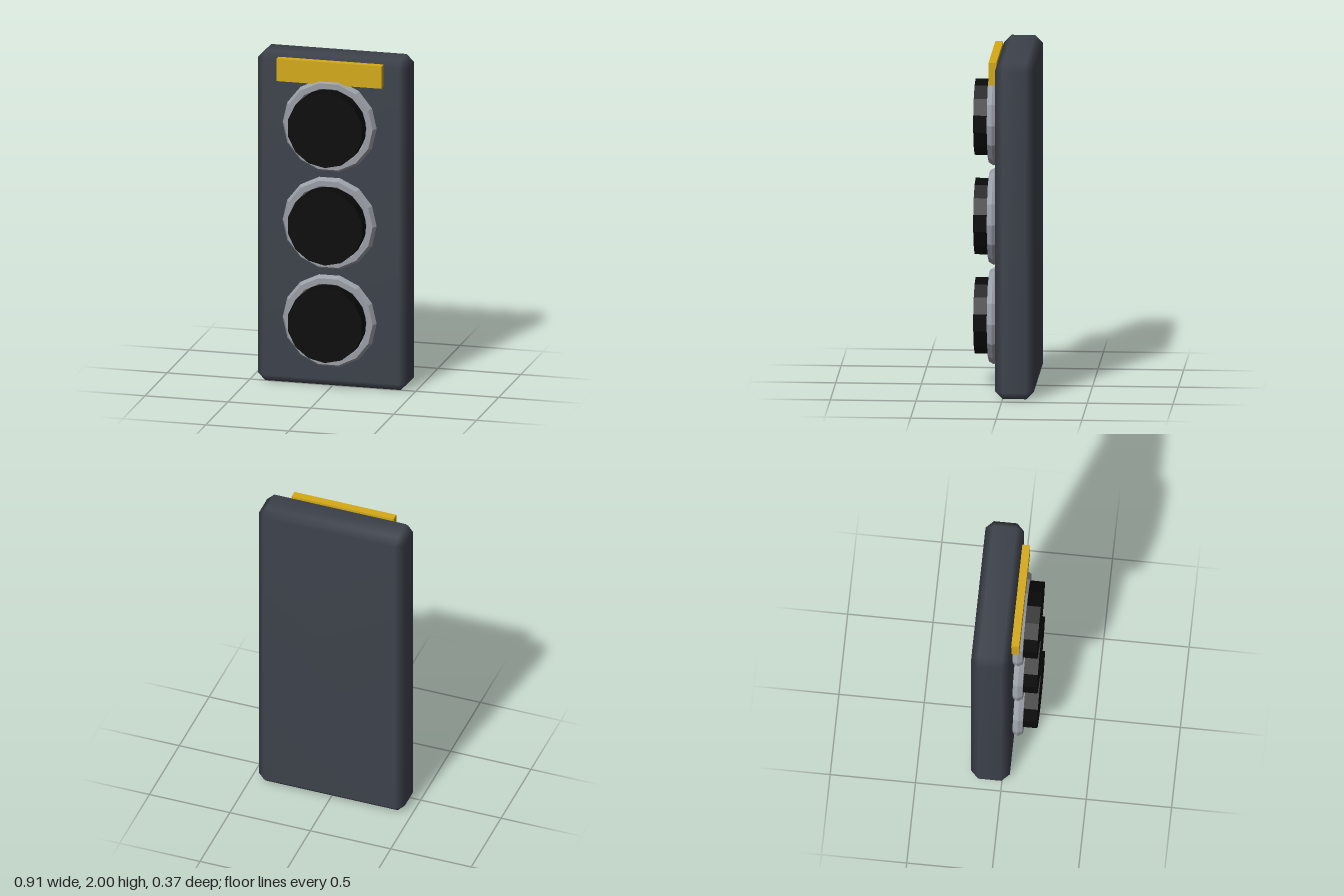
import * as THREE from 'three';
import { ConvexGeometry } from 'three/addons/geometries/ConvexGeometry.js';
import { mergeVertices } from 'three/addons/utils/BufferGeometryUtils.js';

const material = (color, flatShading = false) => new THREE.MeshStandardMaterial({ color, flatShading });

function addMesh(parent, name, geometry, mat, x, y, z) {
  const mesh = new THREE.Mesh(geometry, mat);
  mesh.name = name;
  mesh.position.set(x, y, z);
  parent.add(mesh);
  return mesh;
}

// Box with every edge cut by one 45 degree chamfer, softly shaded
function chamferedBox(w, h, d, c) {
  const points = [];
  for (const sx of [-1, 1]) for (const sy of [-1, 1]) for (const sz of [-1, 1]) {
    const x = w / 2, y = h / 2, z = d / 2;
    points.push(
      new THREE.Vector3(sx * x, sy * (y - c), sz * (z - c)),
      new THREE.Vector3(sx * (x - c), sy * y, sz * (z - c)),
      new THREE.Vector3(sx * (x - c), sy * (y - c), sz * z),
    );
  }
  const hull = new ConvexGeometry(points);
  hull.deleteAttribute('normal');
  const geometry = mergeVertices(hull);
  geometry.computeVertexNormals();
  return geometry;
}

export function createModel() {
  const model = new THREE.Group();
  model.name = 'signalPanel';

  const bodyMat = material(0x3d424b);
  const barMat = material(0xd4aa17);
  const ringMat = material(0x9a9ea6, true);
  const lensMat = material(0x0a0a0a, true);

  // Housing and the bar across its top
  addMesh(model, 'housing', chamferedBox(0.906, 2, 0.226, 0.045), bodyMat, 0, 1, -0.07);
  addMesh(model, 'topBar', new THREE.BoxGeometry(0.634, 0.135, 0.046), barMat, 0, 1.912, 0.065);

  // Three lamps: a faceted ring around a protruding lens
  const ringGeo = new THREE.TorusGeometry(0.25, 0.0335, 6, 14);
  const lensGeo = new THREE.CylinderGeometry(0.2275, 0.2275, 0.16, 14).rotateX(Math.PI / 2);
  [1.594, 1.003, 0.412].forEach((y, i) => {
    const lamp = new THREE.Group();
    lamp.name = ['upperLamp', 'middleLamp', 'lowerLamp'][i];
    lamp.position.y = y;
    addMesh(lamp, 'ring', ringGeo, ringMat, 0, 0, 0.073);
    addMesh(lamp, 'lens', lensGeo, lensMat, 0, 0, 0.103);
    model.add(lamp);
  });

  return model;
}
